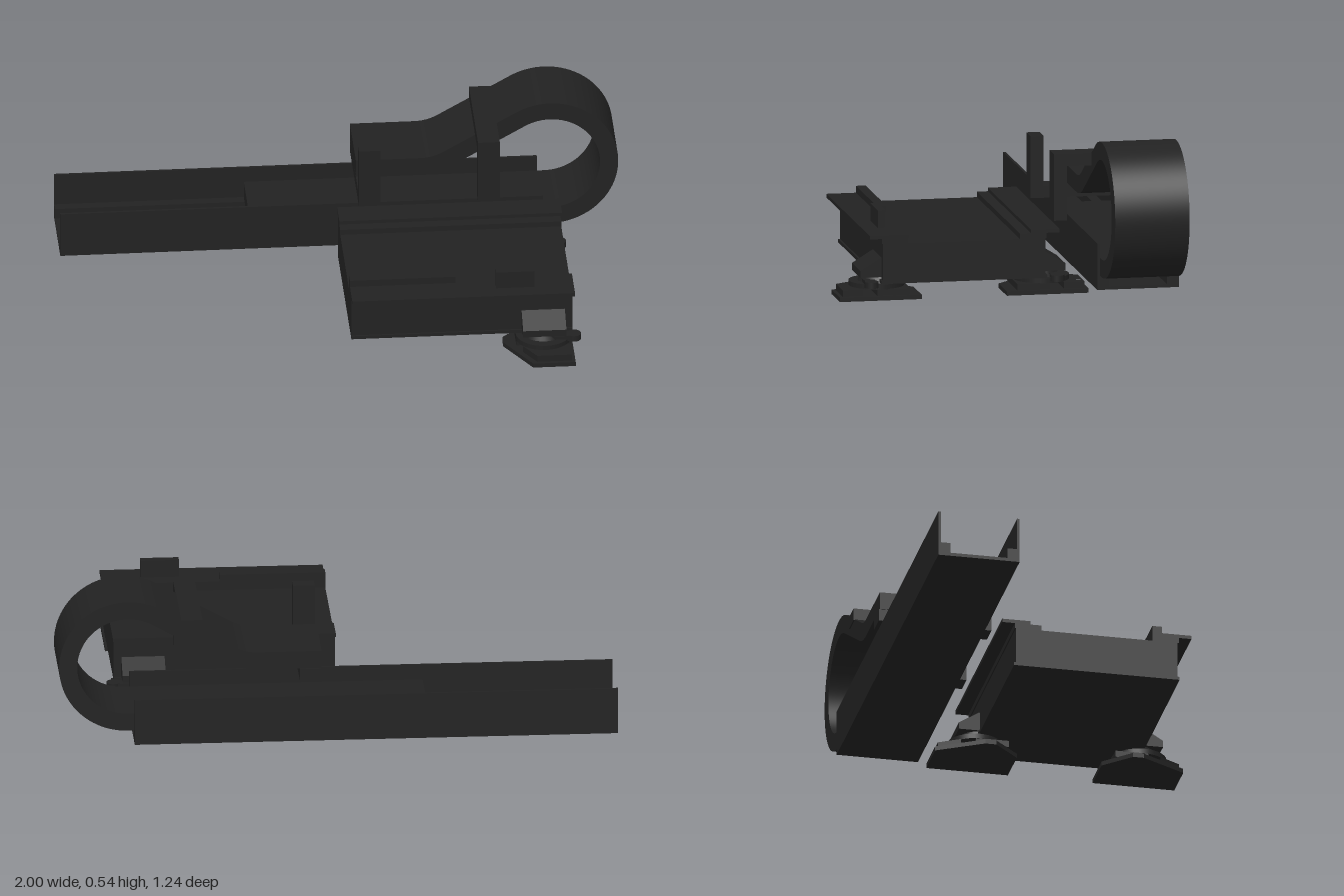
import * as THREE from 'three';
import { toCreasedNormals } from 'three/addons/utils/BufferGeometryUtils.js';

const material = new THREE.MeshStandardMaterial({ color: 0x222222 });
const MID_Z = 0.1675; // centre line of the carriage

function add(parent, name, geometry) {
  const mesh = new THREE.Mesh(geometry, material);
  mesh.name = name;
  parent.add(mesh);
  return mesh;
}

// Box given by its limits on each axis
function box(parent, name, x0, x1, y0, y1, z0, z1) {
  const mesh = add(parent, name, new THREE.BoxGeometry(x1 - x0, y1 - y0, z1 - z0));
  mesh.position.set((x0 + x1) / 2, (y0 + y1) / 2, (z0 + z1) / 2);
  return mesh;
}

function extrude(shape, depth) {
  return new THREE.ExtrudeGeometry(shape, { depth, bevelEnabled: false, curveSegments: 20 });
}

const polygon = (points) => new THREE.Shape(points.map(([x, y]) => new THREE.Vector2(x, y)));

// Open channel with two inner ledges that carry the belt
function createTrough() {
  const group = new THREE.Group();
  group.name = 'trough';
  const section = polygon([
    [0.325, 0], [0.622, 0], [0.622, 0.17], [0.613, 0.17], [0.613, 0.05], [0.578, 0.05],
    [0.578, 0.012], [0.369, 0.012], [0.369, 0.05], [0.334, 0.05], [0.334, 0.17], [0.325, 0.17],
  ]);
  const channel = add(group, 'channel', extrude(section, 1.73));
  channel.rotation.y = Math.PI / 2;
  channel.position.x = -1;
  return group;
}

// Flexible cable belt: lower run, round loop, slope and upper run
function createBelt() {
  const cx = 0.755, cy = 0.295, radius = 0.2125, half = 0.0325;
  const path = [[-0.32, cy - radius, 0, 1]];
  const sweep = Math.PI + 0.515;
  for (let i = 0; i <= 56; i++) {
    const a = -Math.PI / 2 + (sweep * i) / 56;
    path.push([cx + radius * Math.cos(a), cy + radius * Math.sin(a), -Math.cos(a), -Math.sin(a)]);
  }
  // Bend from the slope back to level
  const bend = 0.2, bx = 0.29, by = 0.304;
  for (let i = 0; i <= 8; i++) {
    const a = 0.515 * (1 - i / 8);
    path.push([bx + bend * Math.sin(a), by + bend * (1 - Math.cos(a)), Math.sin(a), -Math.cos(a)]);
  }
  path.push([0.06, by, 0, -1]);
  const inner = path.map(([x, y, nx, ny]) => [x + nx * half, y + ny * half]);
  const outer = path.map(([x, y, nx, ny]) => [x - nx * half, y - ny * half]);
  const geometry = toCreasedNormals(extrude(polygon([...outer, ...inner.reverse()]), 0.271), 0.5);
  geometry.translate(0, 0, -0.608);
  const mesh = new THREE.Mesh(geometry, material);
  mesh.name = 'cableBelt';
  return mesh;
}

// Post with one arm reaching across the belt
function createBracket(name, x0, x1, top, armY) {
  const group = new THREE.Group();
  group.name = name;
  box(group, 'post', x0, x1, 0.225, top, -0.247, -0.2);
  box(group, 'arm', x0, x1, armY, armY + 0.045, -0.612, -0.247);
  return group;
}

function createCarriage() {
  const group = new THREE.Group();
  group.name = 'carriage';
  const x0 = -0.02, x1 = 0.772;
  box(group, 'body', x0, x1, 0.07, 0.205, -0.128, 0.463);
  box(group, 'bottomPlate', x0, x1, 0.06, 0.072, -0.135, 0.47);
  // Shoulders and overhanging flanges along both sides
  box(group, 'leftShoulder', x0, x1, 0.205, 0.225, 0.37, 0.467);
  box(group, 'leftFlange', x0, 0.778, 0.225, 0.238, 0.37, 0.513);
  box(group, 'rightShoulder', x0, x1, 0.205, 0.225, -0.132, -0.035);
  box(group, 'rightFlange', x0, 0.778, 0.225, 0.238, -0.178, -0.075);
  // Fittings on the left flange
  box(group, 'railBar', x0, 0.358, 0.238, 0.263, 0.37, 0.405);
  box(group, 'stopBlock', 0.5, 0.638, 0.238, 0.302, 0.428, 0.456);
  return group;
}

// Corner foot on the +z side, with z measured from the carriage centre line
function createFoot() {
  const group = new THREE.Group();
  group.name = 'foot';
  const plate = polygon([[0.772, -0.155], [0.772, -0.453], [0.62, -0.453], [0.525, -0.29], [0.525, -0.25], [0.62, -0.155]]);
  const hole = new THREE.Path();
  hole.absarc(0.72, -0.425, 0.008, 0, Math.PI * 2, true);
  plate.holes.push(hole);
  add(group, 'basePlate', extrude(plate, 0.016)).rotation.x = -Math.PI / 2;
  // Pads between the base and the turntable
  const outer = polygon([[0.76, -0.365], [0.76, -0.44], [0.635, -0.44], [0.59, -0.365]]);
  outer.holes.push(hole);
  const pad = add(group, 'outerPad', extrude(outer, 0.024));
  pad.rotation.x = -Math.PI / 2;
  pad.position.y = 0.016;
  box(group, 'innerPad', 0.57, 0.765, 0.016, 0.04, 0.195, 0.315);
  const disc = add(group, 'turntable', new THREE.CylinderGeometry(0.1, 0.1, 0.018, 32));
  disc.position.set(0.668, 0.048, 0.3);
  const hub = add(group, 'hub', new THREE.CylinderGeometry(0.07, 0.08, 0.025, 32));
  hub.position.set(0.668, 0.068, 0.288);
  // Sloped support joining the body to the turntable
  const wedge = polygon([[-0.285, 0.08], [-0.285, 0.15], [-0.3, 0.15], [-0.373, 0.105], [-0.373, 0.08]]);
  const support = add(group, 'slopedSupport', extrude(wedge, 0.155));
  support.rotation.y = Math.PI / 2;
  support.position.x = 0.59;
  // Locking lever with a round end
  box(group, 'lever', 0.68, 0.775, 0.05, 0.07, 0.318, 0.358);
  const knob = add(group, 'leverEnd', new THREE.CylinderGeometry(0.025, 0.025, 0.022, 24));
  knob.position.set(0.775, 0.06, 0.338);
  return group;
}

export function createModel() {
  const model = new THREE.Group();
  model.name = 'beltCarriage';
  model.add(createTrough(), createBelt(), createCarriage());
  model.add(createBracket('rearBracket', 0.06, 0.138, 0.45, 0.225));
  model.add(createBracket('loopBracket', 0.487, 0.565, 0.467, 0.422));
  // Mirrored pair of feet
  for (const side of [1, -1]) {
    const foot = createFoot();
    foot.name = side > 0 ? 'leftFoot' : 'rightFoot';
    foot.scale.z = side;
    foot.position.z = MID_Z;
    model.add(foot);
  }
  return model;
}
